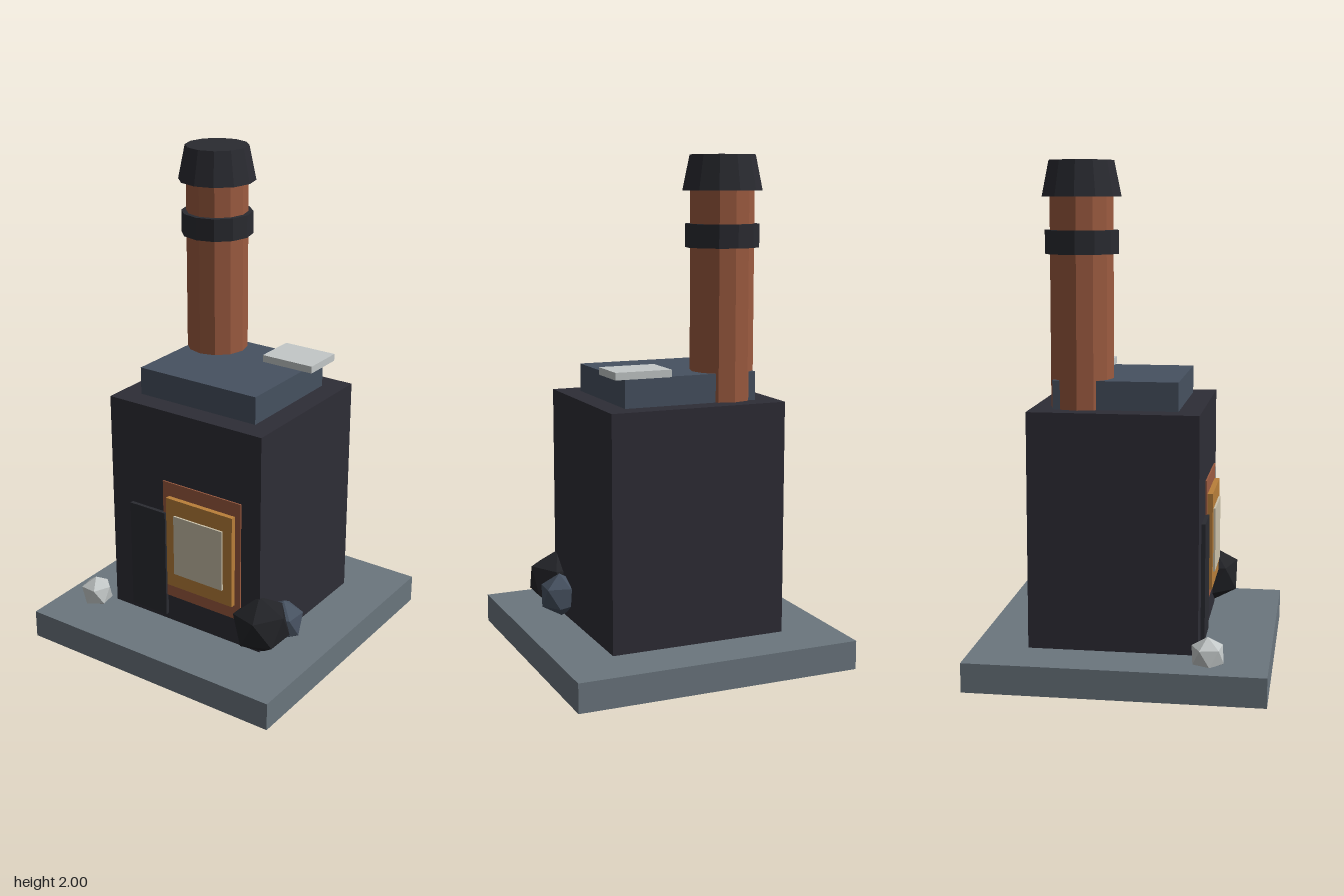
import * as THREE from 'three';

const mat = (name, color) => {
  const m = new THREE.MeshStandardMaterial({ color });
  m.name = name;
  return m;
};

export function createModel() {
  const stone = mat('grey stone', 0x6b767e);
  const soot = mat('dark body', 0x2e2d36);
  const iron = mat('cast iron', 0x2a2b31);
  const slate = mat('blue slate', 0x465160);
  const copper = mat('copper', 0x9c5b40);
  const amber = mat('amber glow', 0xb97f39);
  const cream = mat('pale fire', 0xcbc1a9);
  const ash = mat('pale ash', 0xc3c8c8);
  const coal = mat('coal', 0x222327);

  const model = new THREE.Group();
  model.name = 'furnace';

  const add = (name, geometry, material, x, y, z) => {
    const mesh = new THREE.Mesh(geometry, material);
    mesh.name = name;
    mesh.position.set(x, y, z);
    model.add(mesh);
    return mesh;
  };

  // Box given by its limits on each axis
  const box = (name, material, [x0, x1], [y0, y1], [z0, z1]) =>
    add(name, new THREE.BoxGeometry(x1 - x0, y1 - y0, z1 - z0), material,
      (x0 + x1) / 2, (y0 + y1) / 2, (z0 + z1) / 2);

  // Faceted twelve-sided chimney section
  const section = (name, material, rTop, rBottom, y0, y1) => {
    const g = new THREE.CylinderGeometry(rTop, rBottom, y1 - y0, 12).toNonIndexed();
    g.computeVertexNormals();
    add(name, g, material, -0.177, (y0 + y1) / 2, -0.177);
  };

  // Faceted lump with one corner pointing up
  const lump = (name, material, r, x, y, z, spin, tilt) => {
    const g = new THREE.IcosahedronGeometry(r, 0);
    g.rotateX(-Math.atan((1 + Math.sqrt(5)) / 2)).rotateY(spin).rotateZ(tilt);
    add(name, g, material, x, y, z);
  };

  // Base, body and stepped top
  box('base', stone, [-0.58, 0.58], [0, 0.116], [-0.58, 0.58]);
  box('body', soot, [-0.364, 0.361], [0.116, 1.05], [-0.364, 0.303]);
  box('topSlab', slate, [-0.277, 0.273], [1.05, 1.163], [-0.277, 0.213]);
  box('topPlate', ash, [0.087, 0.317], [1.163, 1.192], [-0.293, -0.118]);

  // Chimney
  section('chimneyPipe', copper, 0.125, 0.125, 1.05, 1.87);
  section('chimneyBand', iron, 0.145, 0.145, 1.645, 1.736);
  section('chimneyCap', iron, 0.128, 0.156, 1.863, 2);

  // Firebox opening, layered outwards, with its open door
  box('fireFrame', copper, [-0.103, 0.272], [0.233, 0.749], [0.29, 0.309]);
  box('fireGlow', amber, [-0.073, 0.246], [0.297, 0.69], [0.3, 0.33]);
  box('fireCore', cream, [-0.032, 0.203], [0.361, 0.622], [0.32, 0.338]);
  box('door', iron, [-0.264, -0.089], [0.143, 0.61], [0.29, 0.319]);

  // Loose lumps on the base
  lump('coalLump', coal, 0.122, 0.364, 0.243, 0.295, 0.3, 0.08);
  lump('slateLump', slate, 0.09, 0.385, 0.21, 0.172, 0.9, -0.05);
  lump('ashLump', ash, 0.07, -0.438, 0.149, 0.347, 0.5, 0.05);

  return model;
}
